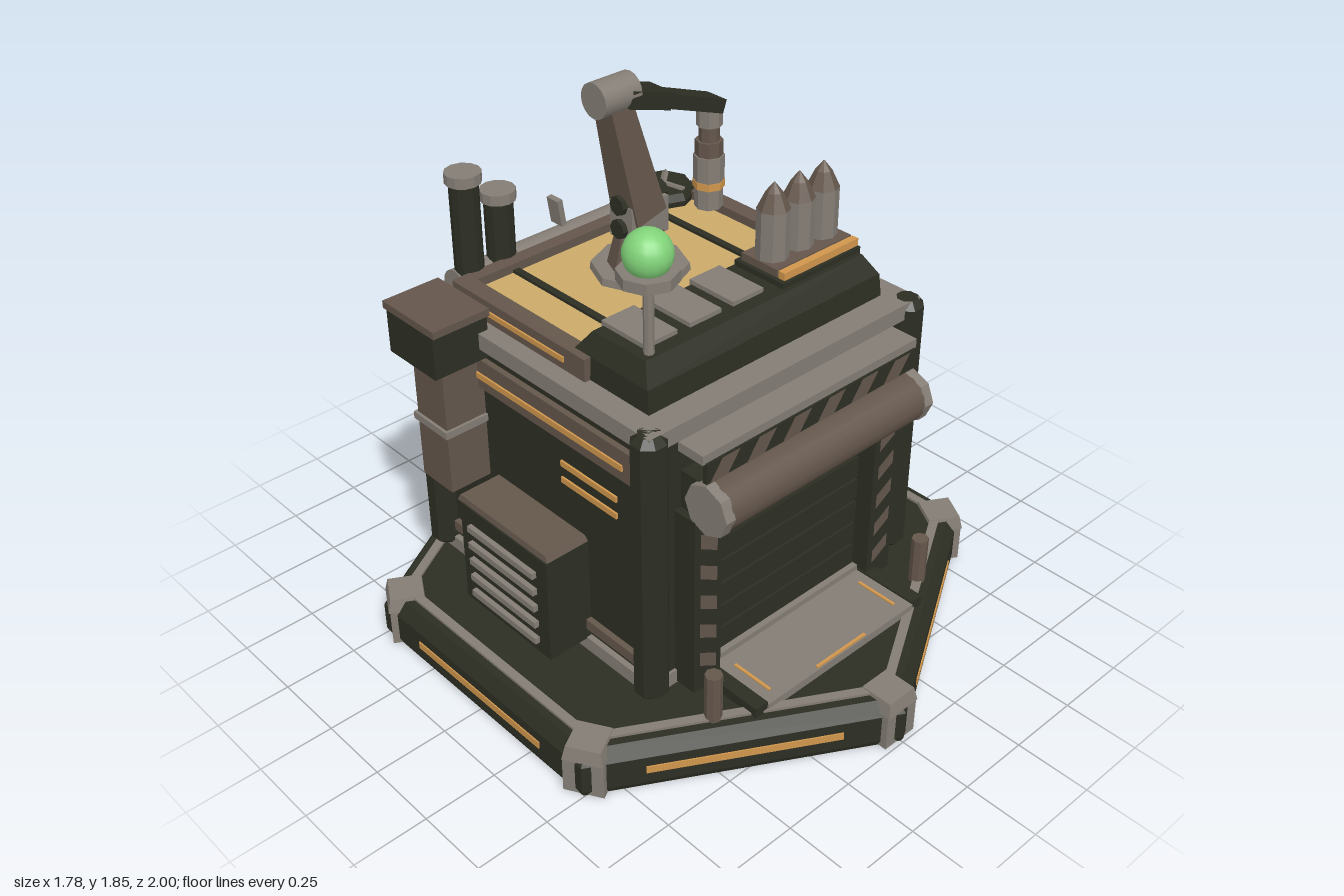
import * as THREE from 'three';

export function createModel() {
  const root = new THREE.Group();
  root.name = 'workshop';
  const mat = (name, color, side = THREE.FrontSide) => {
    const m = new THREE.MeshStandardMaterial({ color, side });
    m.name = name;
    return m;
  };
  const dark = mat('dark olive metal', 0x2c2e23), black = mat('groove black', 0x1f2119);
  const brown = mat('brown metal', 0x64564b), grey = mat('worn grey', 0x847d75);
  const orange = mat('orange light', 0xd0964c), glass = mat('amber glass', 0xcbaa69);
  const green = mat('green lamp', 0x82d47a);

  const flat = (g) => {
    const f = g.index ? g.toNonIndexed() : g;
    f.computeVertexNormals();
    return f;
  };
  const add = (name, m, g, parent = root) => {
    const mesh = new THREE.Mesh(g, m);
    mesh.name = name;
    parent.add(mesh);
    return mesh;
  };
  // box from its limits; the top face can be shrunk by tx, tz
  const box = (name, m, x0, x1, y0, y1, z0, z1, parent = root, tx = 1, tz = 1) => {
    const g = new THREE.BoxGeometry(x1 - x0, y1 - y0, z1 - z0);
    const p = g.attributes.position;
    for (let i = 0; i < p.count; i++) {
      if (p.getY(i) > 0) p.setXYZ(i, p.getX(i) * tx, p.getY(i), p.getZ(i) * tz);
    }
    g.computeVertexNormals();
    const mesh = add(name, m, g, parent);
    mesh.position.set((x0 + x1) / 2, (y0 + y1) / 2, (z0 + z1) / 2);
    return mesh;
  };
  // upright cylinder or cone between two heights
  const cyl = (name, m, x, z, y0, y1, rb, rt = rb, n = 8) => {
    const mesh = add(name, m, flat(new THREE.CylinderGeometry(rt, rb, y1 - y0, n)));
    mesh.position.set(x, (y0 + y1) / 2, z);
    return mesh;
  };
  // cylinder lying along x
  const xcyl = (name, m, x0, x1, y, z, r, n = 16) => {
    const g = new THREE.CylinderGeometry(r, r, x1 - x0, n);
    const mesh = add(name, m, n > 8 ? g : flat(g));
    mesh.rotation.z = Math.PI / 2;
    mesh.position.set((x0 + x1) / 2, y, z);
    return mesh;
  };
  // square bar from point a to point b
  const beam = (name, m, a, b, w, d, taper = 1) => {
    const A = new THREE.Vector3(...a), B = new THREE.Vector3(...b);
    const L = A.distanceTo(B);
    const mesh = box(name, m, -w / 2, w / 2, -L / 2, L / 2, -d / 2, d / 2, root, taper, taper);
    mesh.position.copy(A).add(B).multiplyScalar(0.5);
    mesh.quaternion.setFromUnitVectors(new THREE.Vector3(0, 1, 0), B.sub(A).normalize());
    return mesh;
  };
  // slanted warning stripe facing +z
  const stripe = (pts, z) => {
    const s = new THREE.Shape(pts.map((p) => new THREE.Vector2(...p)));
    add('warningStripe', brown, new THREE.ShapeGeometry(s)).position.z = z;
  };

  // hexagonal base with corner caps, rim and light strips
  const prof = [[0, 0], [0.99, 0], [1, 0.02], [1, 0.12], [0.965, 0.165], [0, 0.165]];
  add('base', dark, flat(new THREE.LatheGeometry(prof.map((p) => new THREE.Vector2(...p)), 6)));
  for (let k = 0; k < 6; k++) {
    const corner = new THREE.Group(), edge = new THREE.Group();
    corner.name = 'baseCorner';
    edge.name = 'baseEdge';
    corner.rotation.y = k * Math.PI / 3;
    edge.rotation.y = (k + 0.5) * Math.PI / 3;
    root.add(corner, edge);
    box('cornerCap', grey, -0.065, 0.065, 0.13, 0.178, 0.86, 0.99, corner, 0.85, 0.85);
    box('cornerBlock', grey, -0.065, 0.065, 0.003, 0.13, 0.86, 0.985, corner);
    box('rim', grey, -0.44, 0.44, 0.16, 0.174, 0.78, 0.81, edge);
    box('edgeLight', orange, -0.305, 0.305, 0.06, 0.086, 0.862, 0.87, edge);
  }

  // main body, plinth, beams and corner posts
  box('body', dark, -0.53, 0.53, 0.16, 1.1, -0.58, 0.45);
  box('plinth', grey, -0.55, 0.55, 0.165, 0.215, -0.6, 0.46);
  box('roofBeam', grey, -0.565, 0.565, 1.08, 1.135, -0.61, 0.48);
  const post = [[0, 0.18], [0.035, 0.18], [0.056, 0.2], [0.056, 1.11], [0.035, 1.135], [0, 1.135]];
  for (const x of [-0.54, 0.54]) for (const z of [-0.58, 0.45]) {
    const g = flat(new THREE.LatheGeometry(post.map((p) => new THREE.Vector2(...p)), 8, Math.PI / 8));
    add('cornerPost', dark, g).position.set(x, 0, z);
  }
  // side and rear trim bands
  for (const s of [-1, 1]) {
    const lo = Math.min(s * 0.52, s * 0.55), hi = Math.max(s * 0.52, s * 0.55);
    box('upperBand', brown, lo, hi, 0.92, 1.025, -0.52, 0.4);
    box('lowerBand', brown, lo, hi, 0.25, 0.287, -0.52, 0.4);
    box('sideLight', orange, s * 0.552 - 0.004, s * 0.552 + 0.004, 0.957, 0.977, -0.48, 0.35);
  }
  box('rearBand', brown, -0.48, 0.48, 0.92, 1.025, -0.6, -0.57);
  box('rearLight', orange, -0.4, 0.43, 0.957, 0.977, -0.606, -0.598);

  // window on the left wall
  box('windowFrame', grey, 0.52, 0.565, 0.38, 0.9, -0.485, 0.335);
  box('windowGlass', glass, 0.562, 0.569, 0.415, 0.865, -0.45, 0.297);
  for (const z of [-0.263, -0.076, 0.111]) box('mullion', dark, 0.565, 0.575, 0.415, 0.865, z - 0.012, z + 0.012);
  box('mullion', dark, 0.565, 0.575, 0.678, 0.702, -0.45, 0.297);
  box('windowAwning', grey, 0.53, 0.622, 0.902, 0.93, -0.5, 0.34);

  // roller door with frame, drum and warning stripes
  box('doorSill', grey, -0.33, 0.33, 0.18, 0.215, 0.45, 0.5);
  for (let i = 0; i < 7; i++) {
    const y = 0.222 + i * 0.088;
    box('doorSlat', dark, -0.32, 0.32, y, y + 0.078, 0.45, 0.485);
  }
  box('doorGrooves', black, -0.34, 0.34, 0.2, 0.84, 0.45, 0.472);
  for (const s of [-1, 1]) {
    const c = s * 0.39;
    box('doorJamb', dark, c - 0.055, c + 0.055, 0.17, 0.82, 0.45, 0.535);
    for (let i = 0; i < 5; i++) {
      const y = 0.23 + i * 0.112;
      const p = [[c - 0.034, y + (s < 0 ? 0.04 : 0)], [c + 0.034, y + (s < 0 ? 0 : 0.04)],
        [c + 0.034, y + (s < 0 ? 0.052 : 0.092)], [c - 0.034, y + (s < 0 ? 0.092 : 0.052)]];
      stripe(p, 0.538);
    }
    xcyl('drumCap', grey, s * 0.425 - 0.018, s * 0.425 + 0.018, 0.885, 0.575, 0.085, 8);
    box('drumBracket', dark, c - 0.03, c + 0.03, 0.82, 0.95, 0.45, 0.55);
    cyl('bollard', brown, s * 0.468, 0.643, 0.165, 0.335, 0.028);
    box('rampSide', dark, s * 0.355 - 0.025, s * 0.355 + 0.025, 0.16, 0.2, 0.5, 0.735);
    box('rampLight', orange, s * 0.285 - 0.005, s * 0.285 + 0.005, 0.192, 0.199, 0.55, 0.7);
  }
  xcyl('doorDrum', brown, -0.41, 0.41, 0.885, 0.575, 0.08, 20);
  box('ramp', grey, -0.33, 0.33, 0.16, 0.194, 0.48, 0.74);
  box('rampFrontLight', orange, -0.11, 0.11, 0.192, 0.2, 0.725, 0.735);
  box('warningBoard', dark, -0.44, 0.44, 0.975, 1.045, 0.56, 0.576);
  box('warningLedge', grey, -0.45, 0.45, 1.042, 1.073, 0.47, 0.57);
  for (let i = 0; i < 6; i++) {
    const x = -0.43 + i * 0.145;
    stripe([[x, 0.977], [x + 0.07, 0.977], [x + 0.118, 1.043], [x + 0.048, 1.043]], 0.579);
  }

  // right wall: hood, duct, louvred vent and lights
  box('ductHood', dark, -0.73, -0.53, 1.12, 1.19, -0.51, -0.28);
  box('ductHoodLower', dark, -0.73, -0.53, 1.04, 1.12, -0.51, -0.28).rotation.x = 0;
  box('hoodCap', brown, -0.735, -0.53, 1.19, 1.215, -0.52, -0.265);
  box('duct', brown, -0.68, -0.53, 0.58, 1.06, -0.47, -0.32);
  box('ductBand', grey, -0.69, -0.53, 0.79, 0.815, -0.48, -0.31);
  box('ventBox', dark, -0.695, -0.53, 0.21, 0.585, -0.26, 0.16);
  box('ventTop', brown, -0.69, -0.53, 0.583, 0.605, -0.28, 0.16, root, 0.95, 0.95);
  for (let i = 0; i < 5; i++) box('louver', grey, -0.712, -0.69, 0.25 + i * 0.064, 0.272 + i * 0.064, -0.21, 0.11);
  for (const y of [0.75, 0.81]) box('wallLight', orange, -0.537, -0.528, y, y + 0.02, 0.05, 0.3);

  // rear wall: door, awning, lamp, panel and pipes
  box('rearDoorFrame', black, -0.365, -0.065, 0.215, 0.66, -0.592, -0.57);
  box('rearDoor', dark, -0.35, -0.08, 0.215, 0.64, -0.6, -0.57);
  box('rearAwning', grey, -0.39, -0.04, 0.645, 0.675, -0.632, -0.57);
  box('rearLamp', orange, -0.25, -0.18, 0.71, 0.73, -0.59, -0.575);
  box('rearPanel', brown, 0.08, 0.4, 0.3, 0.86, -0.594, -0.57);
  box('panelLight', orange, 0.25, 0.31, 0.36, 0.4, -0.6, -0.592);
  for (const [x, m] of [[0.2, grey], [0.33, brown]]) {
    beam('rearPipe', m, [x, 0.2, -0.64], [x, 0.84, -0.64], 0.04, 0.04);
    beam('rearPipeBend', m, [x, 0.83, -0.643], [x, 0.97, -0.6], 0.04, 0.04);
  }

  // skylight with brown curb
  for (const s of [-1, 1]) {
    box('curbSide', brown, s * 0.475 - 0.03, s * 0.475 + 0.03, 1.13, 1.21, -0.48, 0.14);
    box('curbLight', orange, s * 0.507 - 0.004, s * 0.507 + 0.004, 1.163, 1.18, -0.4, 0.05);
    box('skylightBar', dark, s * 0.295 - 0.012, s * 0.295 + 0.012, 1.17, 1.19, -0.44, 0.08);
  }
  box('curbRear', brown, -0.5, 0.5, 1.13, 1.21, -0.485, -0.435);
  box('skylightGlass', glass, -0.45, 0.45, 1.13, 1.18, -0.44, 0.08);
  xcyl('rearTube', grey, -0.46, 0.32, 1.15, -0.535, 0.055);

  // front roof housing with panels
  box('housing', dark, -0.485, 0.485, 1.13, 1.21, 0.065, 0.39, root, 0.99, 0.95);
  box('housingTop', dark, -0.48, 0.48, 1.21, 1.272, 0.07, 0.38, root, 0.93, 0.72);
  for (const x of [-0.345, -0.172, 0]) box('housingPanel', grey, x - 0.062, x + 0.062, 1.265, 1.287, 0.105, 0.29);

  // row of pointed canisters
  box('canisterBase', dark, 0.115, 0.455, 1.26, 1.29, 0.115, 0.32);
  box('canisterTray', brown, 0.13, 0.455, 1.288, 1.315, 0.13, 0.28);
  box('canisterLight', orange, 0.13, 0.455, 1.288, 1.315, 0.285, 0.31);
  for (const x of [0.185, 0.292, 0.398]) {
    cyl('canister', grey, x, 0.205, 1.31, 1.475, 0.052);
    cyl('canisterNose', brown, x, 0.205, 1.475, 1.53, 0.052, 0.026);
    cyl('canisterTip', brown, x, 0.205, 1.53, 1.56, 0.026, 0.002);
  }

  // green beacon
  cyl('beaconPole', grey, -0.41, 0.31, 1.15, 1.5, 0.016);
  cyl('beaconDish', grey, -0.41, 0.31, 1.505, 1.54, 0.09);
  cyl('beaconCollar', grey, -0.41, 0.31, 1.485, 1.505, 0.03, 0.06);
  add('beacon', green, new THREE.SphereGeometry(0.073, 16, 12)).position.set(-0.41, 1.587, 0.31);

  // chimneys and roof fan
  for (const [x, h] of [[-0.41, 1.535], [-0.285, 1.435]]) {
    cyl('chimney', dark, x, -0.52, 1.13, h - 0.03, 0.047, 0.047, 12);
    cyl('chimneyCap', grey, x, -0.52, h - 0.035, h, 0.058, 0.058, 12);
  }
  cyl('fanHousing', dark, 0.395, -0.51, 1.13, 1.2, 0.1, 0.112);
  cyl('fanTop', dark, 0.395, -0.51, 1.2, 1.225, 0.112, 0.1);
  for (let k = 0; k < 3; k++) {
    const a = k * Math.PI * 2 / 3 + 0.2;
    beam('fanSpoke', grey, [0.395, 1.226, -0.51], [0.395 + 0.085 * Math.sin(a), 1.226, -0.51 + 0.085 * Math.cos(a)], 0.016, 0.016);
  }

  // crane arm with hanging tool
  const cz = -0.185;
  cyl('craneDisc', grey, 0, cz, 1.17, 1.205, 0.16, 0.155);
  cyl('cranePedestal', brown, 0, cz, 1.2, 1.32, 0.105, 0.075);
  box('craneTurret', grey, -0.075, 0.075, 1.31, 1.43, cz - 0.05, cz + 0.05);
  for (const s of [-1, 1]) for (const y of [1.35, 1.43]) {
    xcyl('shoulderJoint', dark, s * 0.07 - 0.022, s * 0.07 + 0.022, y, cz, 0.032, 8);
  }
  beam('lowerArm', brown, [0, 1.38, cz], [-0.1, 1.78, cz], 0.12, 0.12, 0.68);
  xcyl('elbow', grey, -0.17, -0.03, 1.795, cz, 0.056);
  beam('forearm', dark, [-0.07, 1.785, cz], [0.09, 1.735, cz], 0.055, 0.11);
  beam('forearmEnd', dark, [0.05, 1.745, cz], [0.32, 1.645, cz], 0.045, 0.085);
  const tool = [[1.58, 1.645, 0.042, grey], [1.53, 1.58, 0.034, brown], [1.48, 1.53, 0.045, brown],
    [1.395, 1.48, 0.05, grey], [1.37, 1.395, 0.052, orange], [1.3, 1.37, 0.046, grey]];
  for (const [y0, y1, r, m] of tool) cyl('craneTool', m, 0.295, cz, y0, y1, r);
  box('signPlate', grey, -0.331, -0.313, 1.455, 1.54, cz - 0.025, cz + 0.025).rotation.z = 0.15;

  return root;
}
